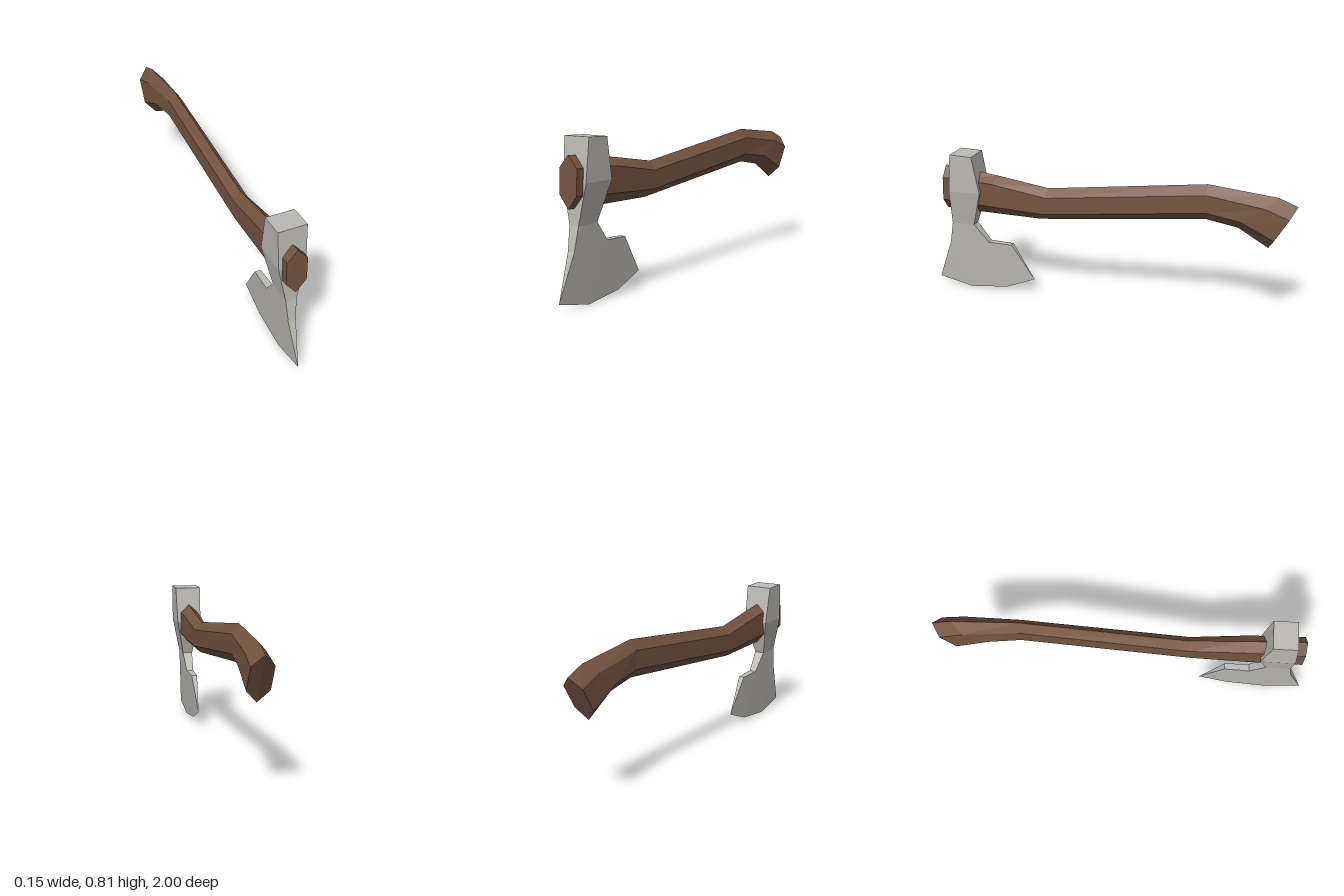
import * as THREE from 'three';

const wood = new THREE.MeshStandardMaterial({ color: 0x755441, flatShading: true });
wood.name = 'brown wood';
const steel = new THREE.MeshStandardMaterial({ color: 0xbcbab5, flatShading: true });
steel.name = 'grey steel';

// Turns a list of triangles (corner arrays) into a faceted mesh
function facetedMesh(name, triangles, material) {
  const geometry = new THREE.BufferGeometry();
  geometry.setAttribute('position', new THREE.Float32BufferAttribute(triangles.flat(2), 3));
  geometry.computeVertexNormals();
  const mesh = new THREE.Mesh(geometry, material);
  mesh.name = name;
  return mesh;
}

// Hexagonal handle swept through sections, front to back:
// half width, then [z, y] of the top ridge, upper side, lower side and bottom ridge
function createHandle() {
  const sections = [
    [0.053, [0.92, 0.73], [0.92, 0.67], [0.925, 0.545], [0.925, 0.48]],
    [0.049, [0.6, 0.69], [0.64, 0.655], [0.65, 0.525], [0.66, 0.472]],
    [0.04, [0.325, 0.645], [0.33, 0.6], [0.345, 0.505], [0.37, 0.465]],
    [0.037, [-0.54, 0.745], [-0.54, 0.695], [-0.54, 0.6], [-0.54, 0.555]],
    [0.051, [-0.9, 0.705], [-0.84, 0.655], [-0.72, 0.575], [-0.705, 0.525]],
    [0.056, [-1, 0.665], [-0.965, 0.61], [-0.895, 0.49], [-0.865, 0.43]],
  ];
  const rings = sections.map(([w, top, upper, lower, bottom]) => [
    [0, top], [-w, upper], [-w, lower], [0, bottom], [w, lower], [w, upper],
  ].map(([x, [z, y]]) => [x, y, z]));

  const triangles = [];
  for (let i = 0; i < rings.length - 1; i++) {
    const a = rings[i], b = rings[i + 1];
    for (let j = 0; j < 6; j++) {
      const k = (j + 1) % 6;
      triangles.push([a[j], b[j], b[k]], [a[j], b[k], a[k]]);
    }
  }
  // End caps
  const front = rings[0], back = rings[rings.length - 1];
  for (let j = 1; j < 5; j++) {
    triangles.push([front[0], front[j], front[j + 1]], [back[0], back[j + 1], back[j]]);
  }
  return facetedMesh('handle', triangles, wood);
}

// Wedge-shaped head: outline points [z, y, half thickness], thinning to the blade edge
function createHead() {
  const outline = [
    [0.86, 0.81, 0.075], [0.88, 0.6, 0.07], [0.89, 0.4, 0.028], [0.913, 0.28, 0.02],
    [1, 0.05, 0], [0.8, 0.005, 0], [0.585, 0.03, 0], [0.42, 0.095, 0], // cutting edge
    [0.545, 0.295, 0.016], [0.68, 0.3, 0.02], [0.76, 0.4, 0.028],
    [0.7, 0.6, 0.07], [0.735, 0.805, 0.075],
  ];
  const cheek = [
    [0, 1, 11], [0, 11, 12], [1, 2, 10], [1, 10, 11], [2, 3, 9], [2, 9, 10],
    [3, 4, 5], [3, 5, 9], [5, 6, 9], [6, 8, 9], [6, 7, 8],
  ];
  const left = outline.map(([z, y, w]) => [w, y, z]);
  const right = outline.map(([z, y, w]) => [-w, y, z]);

  const triangles = [];
  // Mirrored cheeks
  for (const [a, b, c] of cheek) {
    triangles.push([left[a], left[b], left[c]], [right[c], right[b], right[a]]);
  }
  // Walls joining both cheeks, skipped where the thickness is zero
  outline.forEach((point, i) => {
    const j = (i + 1) % outline.length;
    if (point[2] > 0) triangles.push([left[i], right[i], right[j]]);
    if (outline[j][2] > 0) triangles.push([left[i], right[j], left[j]]);
  });
  return facetedMesh('axeHead', triangles, steel);
}

export function createModel() {
  const group = new THREE.Group();
  group.name = 'axe';
  group.add(createHandle(), createHead());
  return group;
}
